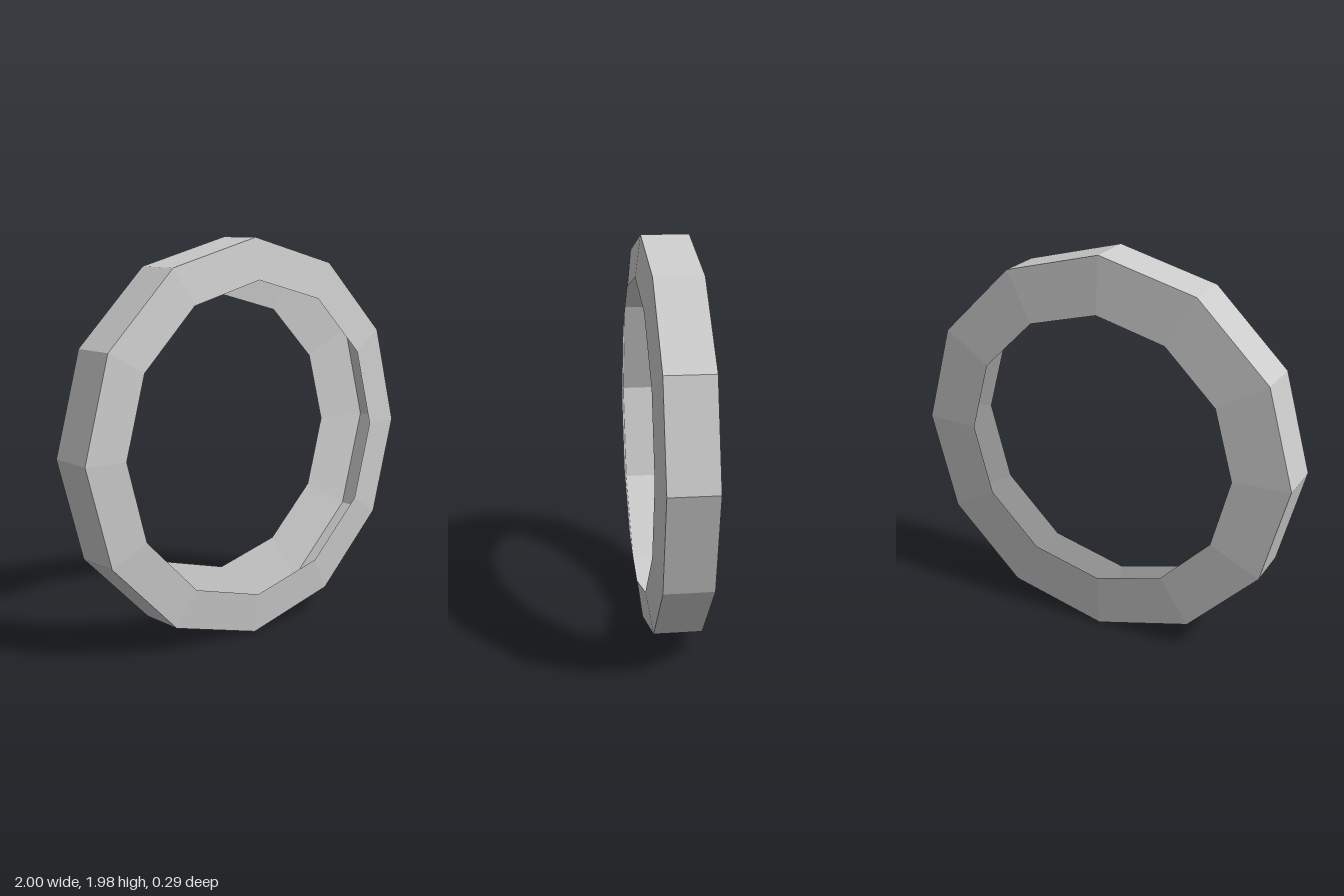
import * as THREE from 'three';

export function createModel() {
  const group = new THREE.Group();
  group.name = 'ring';

  // Open channel cross-section: [radius, depth], back face, outer wall, front face.
  // The bore side stays open, so the hollow inside shows.
  const profile = [
    [0.715, -0.145],
    [1.0, -0.118],
    [1.0, 0.118],
    [0.795, 0.145],
  ].map(([r, z]) => new THREE.Vector2(r, z));

  // Twelve-sided faceted shell, very slightly oval, with its axis pointing forward
  const halfHeight = 0.992;
  const geometry = new THREE.LatheGeometry(profile, 12);
  geometry.rotateX(Math.PI / 2);
  geometry.scale(1, halfHeight, 1);
  geometry.translate(0, halfHeight, 0);

  const shell = new THREE.Mesh(
    geometry,
    new THREE.MeshStandardMaterial({
      color: 0xcccccc,
      flatShading: true,
      side: THREE.DoubleSide,
    })
  );
  shell.name = 'shell';
  group.add(shell);
  return group;
}
